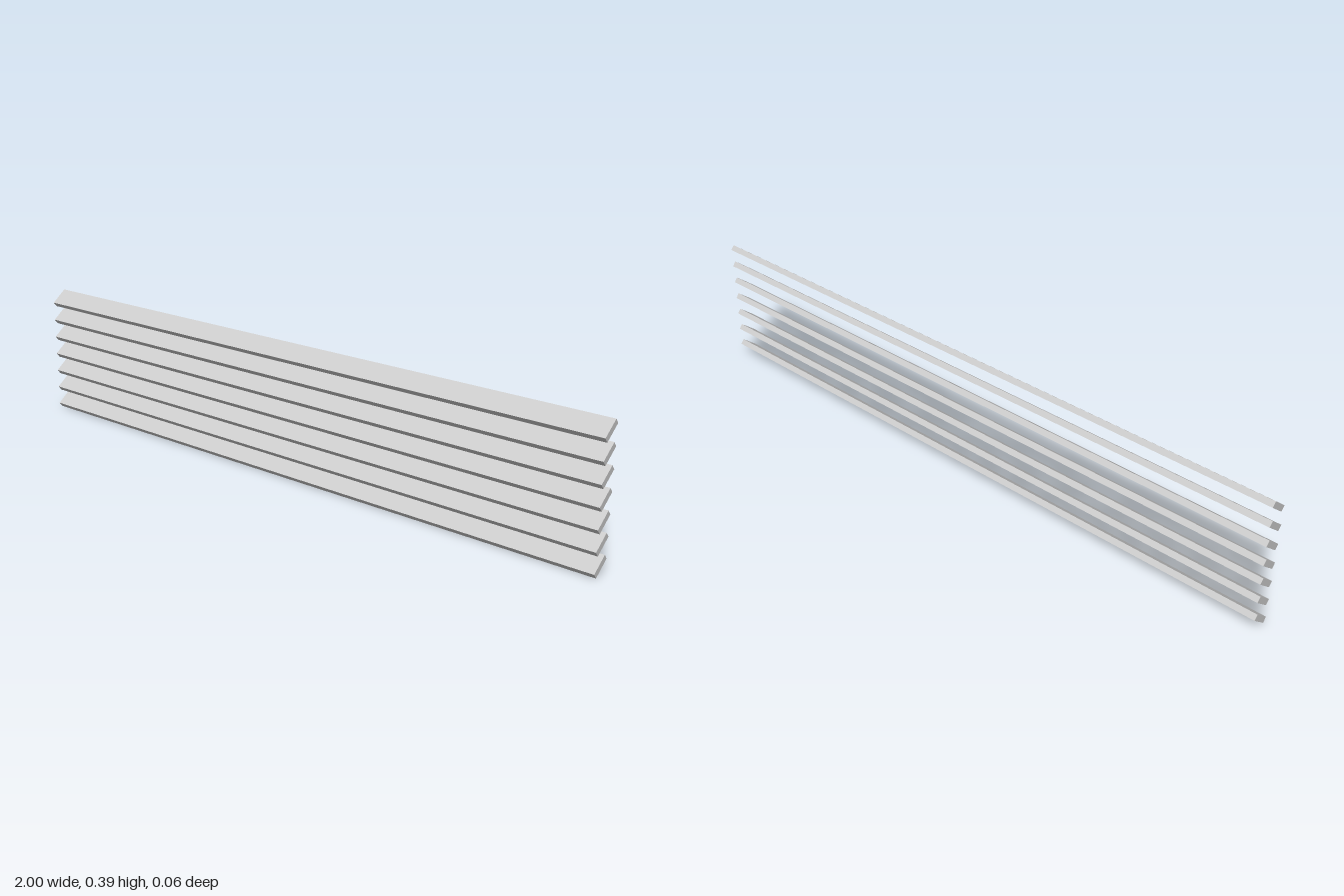
import * as THREE from 'three';

const COUNT = 7;        // slats in the louvre
const PITCH = 0.0575;   // vertical spacing
const DEPTH = 0.059;    // slat width along its slope
const THICK = 0.017;
const TILT = 0.667;     // front edge tilts down

export function createModel() {
  const group = new THREE.Group();
  group.name = 'louvre';
  const material = new THREE.MeshStandardMaterial({ color: 0xcccccc, flatShading: true });
  const geometry = new THREE.BoxGeometry(2, THICK, DEPTH);

  // Lowest slat rests just at the ground
  const firstY = (DEPTH * Math.sin(TILT) + THICK * Math.cos(TILT)) / 2 + 0.001;

  // Stack of identical tilted slats
  for (let i = 0; i < COUNT; i++) {
    const slat = new THREE.Mesh(geometry, material);
    slat.name = `slat${i + 1}`;
    slat.position.y = firstY + i * PITCH;
    slat.rotation.x = TILT;
    group.add(slat);
  }
  return group;
}
